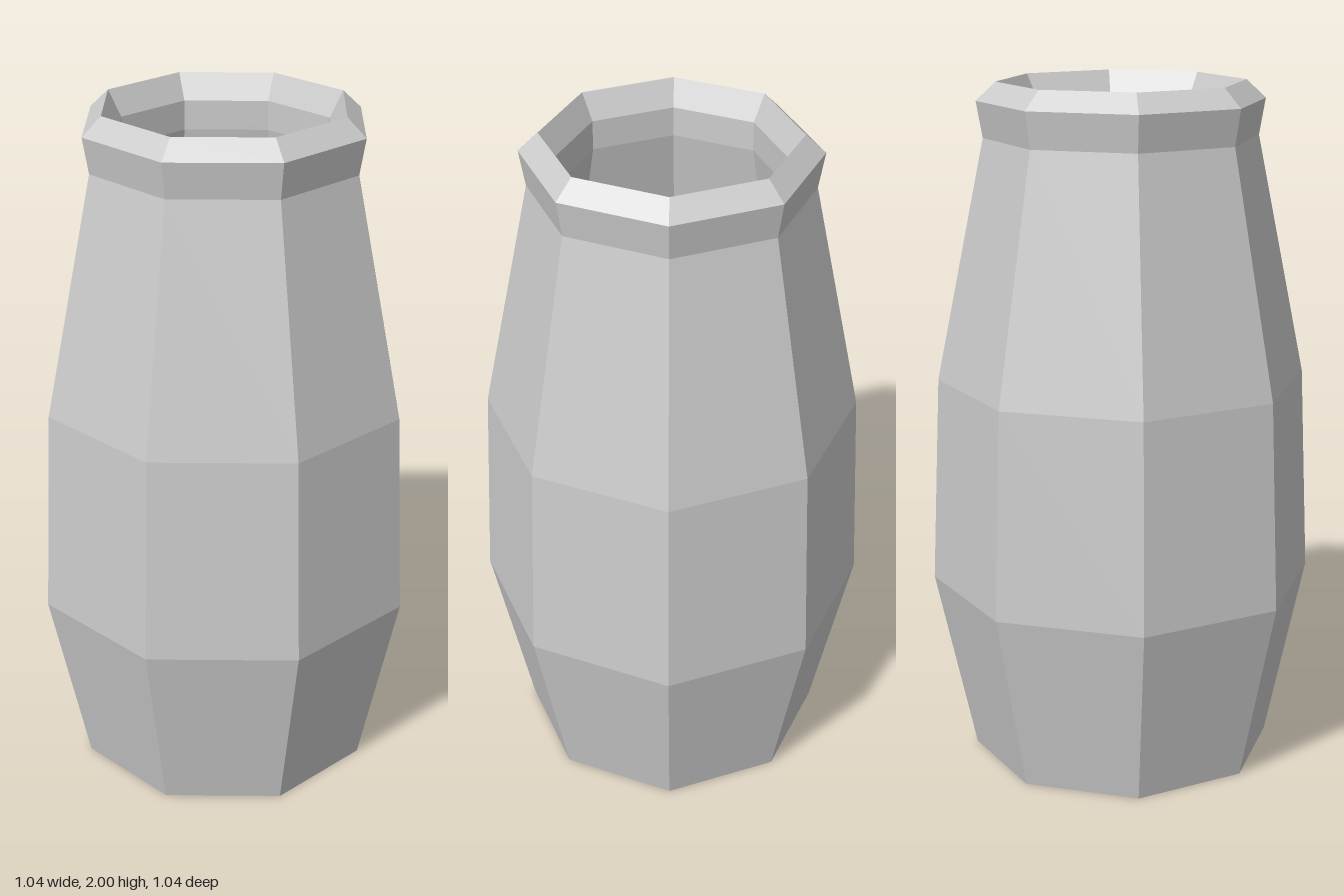
import * as THREE from 'three';

const SIDES = 8;
const TURN = THREE.MathUtils.degToRad(21.9); // flats face the axes, very slightly turned

// Faceted eight-sided surface of revolution from [radius, height] pairs
function facetedLathe(profile) {
  const points = profile.map(([r, y]) => new THREE.Vector2(r, y));
  const geometry = new THREE.LatheGeometry(points, SIDES, TURN).toNonIndexed();
  geometry.computeVertexNormals();
  return geometry;
}

export function createModel() {
  const group = new THREE.Group();
  group.name = 'vase';

  const grey = new THREE.MeshStandardMaterial({ color: 0xcccccc });
  grey.name = 'light grey';

  const parts = {
    // Recessed underside with a sloping foot rim
    foot: [[0, 0.06], [0.372, 0.06], [0.445, 0]],
    // Outer wall, widest below the middle
    body: [[0.445, 0], [0.563, 0.54], [0.537, 1.145], [0.395, 1.843]],
    // Flared lip, bevelled on the outside and inside
    lip: [[0.395, 1.843], [0.413, 1.947], [0.357, 2], [0.317, 1.926]],
    // Hollow inside, following the outer wall down to a flat floor
    interior: [[0.317, 1.926], [0.317, 1.84], [0.455, 1.145], [0.48, 0.54], [0.372, 0.1], [0, 0.1]],
  };

  for (const [name, profile] of Object.entries(parts)) {
    const mesh = new THREE.Mesh(facetedLathe(profile), grey);
    mesh.name = name;
    group.add(mesh);
  }
  return group;
}
